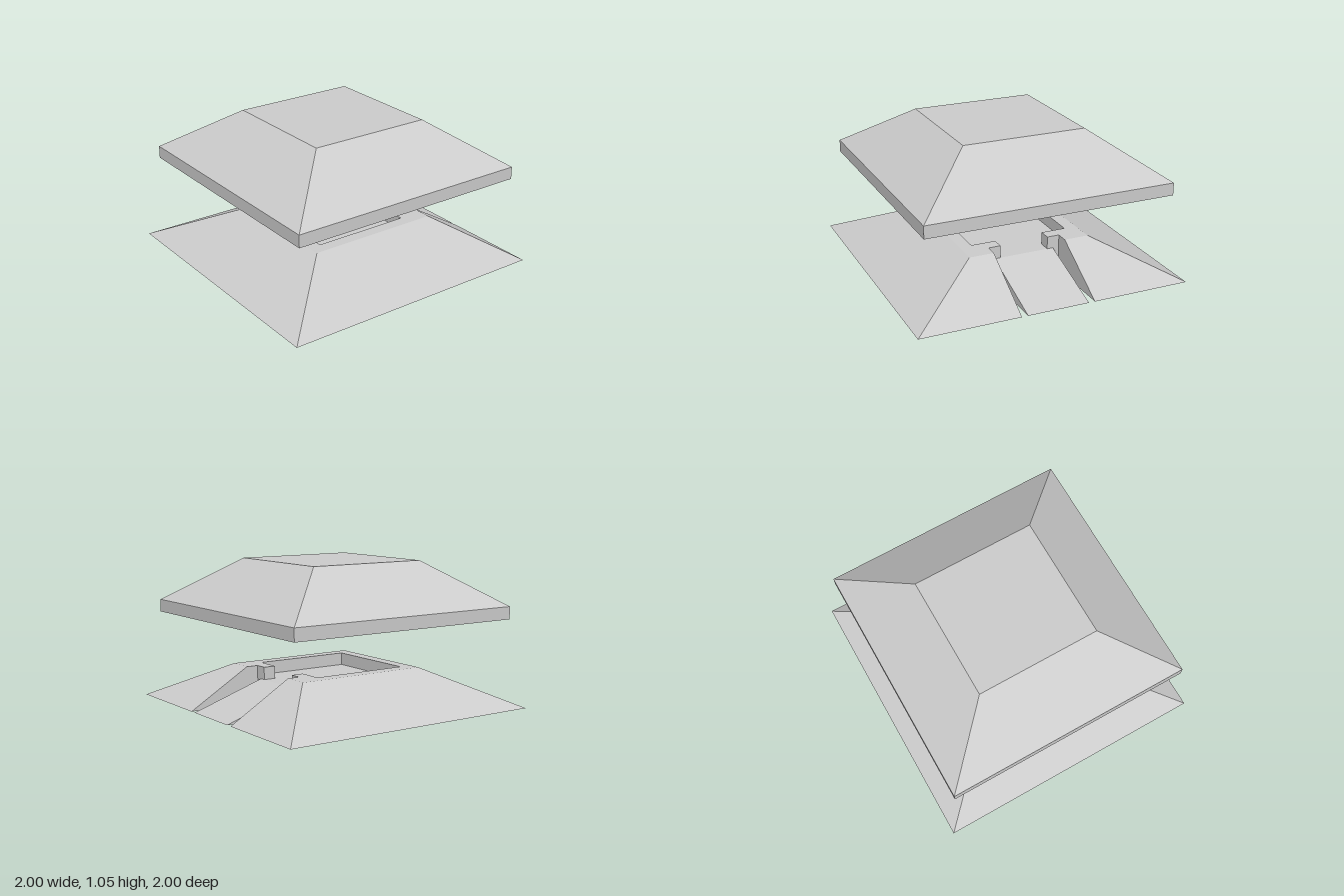
import * as THREE from 'three';

// Everything sits on a grid of 1/11 unit
const U = 1 / 11;
const material = new THREE.MeshStandardMaterial({ color: 0xcccccc, flatShading: true });

// Triangulates a flat polygon so that it faces the way of `out`
function face(list, pts, out) {
  const n = out.map(Math.abs);
  const drop = n.indexOf(Math.max(...n));
  const flat = pts.map(p => new THREE.Vector2(...p.filter((_, i) => i !== drop)));
  const v = pts.map(p => new THREE.Vector3(...p).multiplyScalar(U));
  const dir = new THREE.Vector3(...out);
  for (const [a, b, c] of THREE.ShapeUtils.triangulateShape(flat, [])) {
    const normal = v[b].clone().sub(v[a]).cross(v[c].clone().sub(v[a]));
    const tri = normal.dot(dir) > 0 ? [a, b, c] : [a, c, b];
    tri.forEach(i => list.push(v[i].x, v[i].y, v[i].z));
  }
}

// The same face on both the +z and -z sides
function pair(list, pts, out) {
  const flip = ([x, y, z]) => [x, y, -z];
  face(list, pts, out);
  face(list, pts.map(flip), flip(out));
}

// Level polygon symmetric in z, from its +z half outline of [x, z]
function level(list, half, y, up) {
  const front = half.map(([x, z]) => [x, y, z]);
  const back = half.map(([x, z]) => [x, y, -z]).reverse();
  face(list, [...front, ...back], [0, up, 0]);
}

function meshOf(list, name) {
  const g = new THREE.BufferGeometry();
  g.setAttribute('position', new THREE.Float32BufferAttribute(list, 3));
  g.computeVertexNormals();
  const m = new THREE.Mesh(g, material);
  m.name = name;
  return m;
}

function createBase() {
  const base = new THREE.Group();
  base.name = 'base';
  const H = 3, F = 2; // rim height and floor height

  // Sloped outside, split on the right by the entrance channel
  const slopes = [];
  pair(slopes, [[-11, 0, 11], [11, 0, 11], [6, H, 5], [-5, H, 5]], [0, 1, 1.1]);
  face(slopes, [[-11, 0, 11], [-11, 0, -11], [-5, H, -5], [-5, H, 5]], [-1.1, 1, 0]);
  pair(slopes, [[11, 0, 11], [11, 0, 3], [6, H, 3], [6, H, 5]], [1, 1.1, 0]);
  base.add(meshOf(slopes, 'baseSlopes'));

  // Flat rim around the sunken floor
  const rim = [];
  level(rim, [[4, 2], [5, 2], [5, 3], [6, 3], [6, 5], [-5, 5], [-5, 0]].slice(0, 6)
    .reverse().concat([[4, 2], [4, 4], [-4, 4]].slice(1)), H, 1);
  rim.length = 0;
  pair(rim, [[-5, H, 0], [-5, H, 5], [6, H, 5], [6, H, 3], [5, H, 3], [5, H, 2],
    [4, H, 2], [4, H, 4], [-4, H, 4], [-4, H, 0]], [0, 1, 0]);
  base.add(meshOf(rim, 'baseRim'));

  // Sunken floor with its walls and doorway
  const pit = [];
  level(pit, [[-4, 4], [4, 4], [4, 2], [5, 2]], F, 1);
  face(pit, [[-4, F, 4], [-4, F, -4], [-4, H, -4], [-4, H, 4]], [1, 0, 0]);
  pair(pit, [[-4, F, 4], [4, F, 4], [4, H, 4], [-4, H, 4]], [0, 0, -1]);
  pair(pit, [[4, F, 2], [4, F, 4], [4, H, 4], [4, H, 2]], [-1, 0, 0]);
  pair(pit, [[4, F, 2], [5, F, 2], [5, H, 2], [4, H, 2]], [0, 0, -1]);
  base.add(meshOf(pit, 'sunkenFloor'));

  // Channel walls and the door jambs at its end
  const channel = [];
  pair(channel, [[11, 0, 3], [6, H, 3], [5, H, 3], [5, 0, 3]], [0, 0, -1]);
  pair(channel, [[5, F, 2], [5, F, 2.5], [5, 0, 2.5], [5, 0, 3], [5, H, 3], [5, H, 2]], [1, 0, 0]);
  base.add(meshOf(channel, 'entranceChannel'));

  // Ramp standing free between two narrow slots
  const ramp = [];
  face(ramp, [[11, 0, 2.5], [11, 0, -2.5], [5, F, -2.5], [5, F, 2.5]], [1, 3, 0]);
  pair(ramp, [[11, 0, 2.5], [5, F, 2.5], [5, 0, 2.5]], [0, 0, 1]);
  base.add(meshOf(ramp, 'ramp'));

  // Underside with the slots left open
  const under = [];
  pair(under, [[-11, 0, 0], [-11, 0, 11], [11, 0, 11], [11, 0, 3], [5, 0, 3],
    [5, 0, 2.5], [11, 0, 2.5], [11, 0, 0]], [0, -1, 0]);
  base.add(meshOf(under, 'baseUnderside'));
  return base;
}

// Floating roof: a square profile with a shallow recess underneath
function createRoof() {
  const profile = [[0, 8], [3, 8], [3, 7], [10, 7], [10, 8], [5, 11.5], [0, 11.5]]
    .map(([half, y]) => new THREE.Vector2(half * Math.SQRT2 * U, y * U));
  const g = new THREE.LatheGeometry(profile, 4, Math.PI / 4).toNonIndexed();
  g.computeVertexNormals();
  const roof = new THREE.Mesh(g, material);
  roof.name = 'roof';
  return roof;
}

export function createModel() {
  const model = new THREE.Group();
  model.name = 'pavilion';
  model.add(createBase(), createRoof());
  return model;
}
